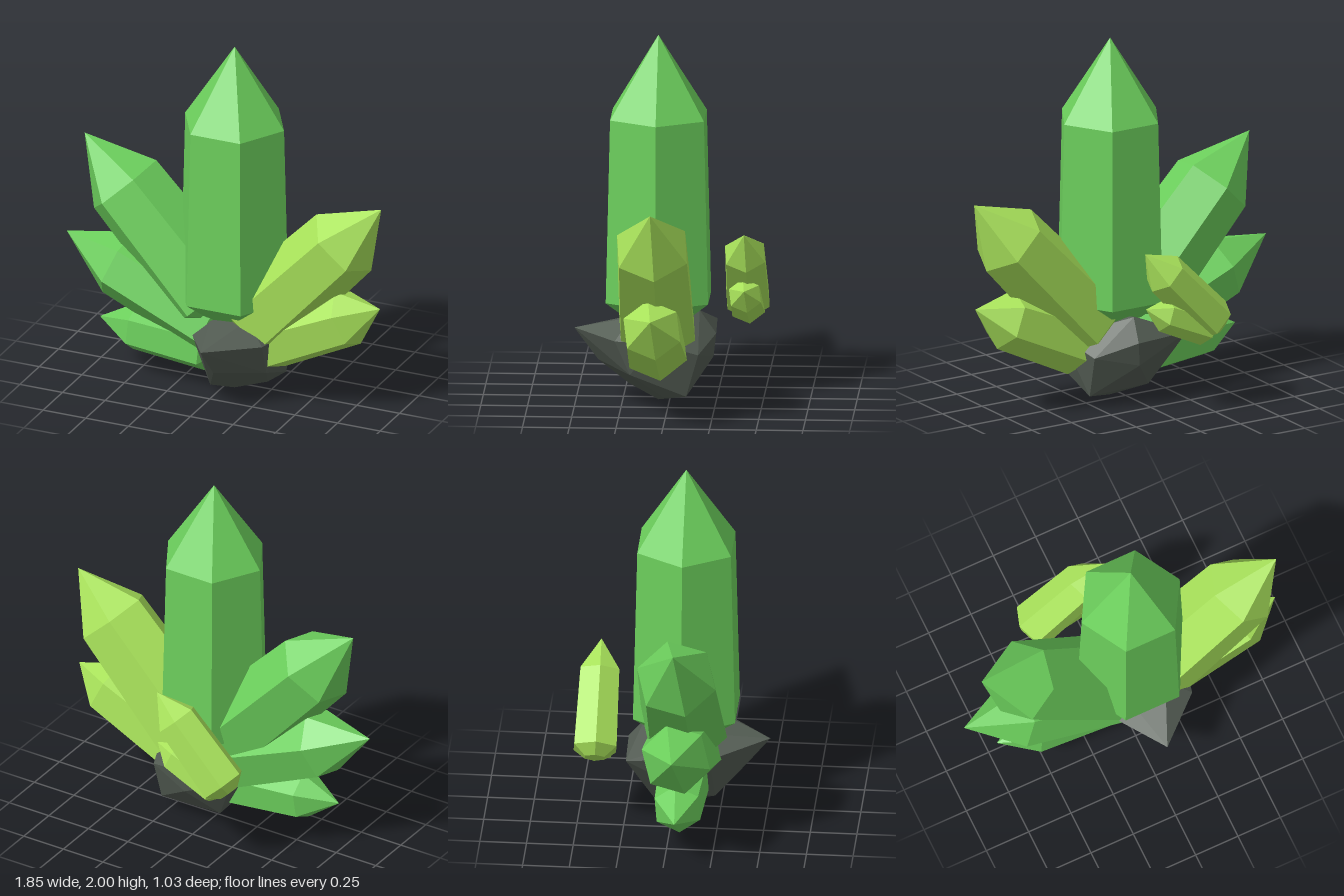
import * as THREE from 'three';
import { ConvexGeometry } from 'three/addons/geometries/ConvexGeometry.js';

const paint = (color) => new THREE.MeshStandardMaterial({ color, flatShading: true });
const UP = new THREE.Vector3(0, 1, 0);

// Six-sided crystal: pointed tip, slightly flared shaft, blunt tapered root
function crystal(name, material, base, tip, tipLength, radius, twist) {
  const start = new THREE.Vector3(...base);
  const axis = new THREE.Vector3(...tip).sub(start);
  const length = axis.length();
  const profile = [
    [0, -0.45 * radius],
    [0.5 * radius, -0.45 * radius],
    [1.09 * radius, 0],
    [radius, length - tipLength],
    [0, length],
  ].map(([x, y]) => new THREE.Vector2(x, y));
  const geometry = new THREE.LatheGeometry(profile, 6, THREE.MathUtils.degToRad(twist));
  const mesh = new THREE.Mesh(geometry, material);
  mesh.name = name;
  mesh.position.copy(start);
  mesh.quaternion.setFromUnitVectors(UP, axis.normalize());
  return mesh;
}

export function createModel() {
  const model = new THREE.Group();
  model.name = 'crystalCluster';
  const green = paint(0x6ccf5c);
  const lime = paint(0xa8e25a);
  const stone = paint(0x525b52);

  // Crystals: name, material, root centre, tip, tip length, radius, twist in degrees
  const crystals = [
    ['mainCrystal', green, [0.06, 0.56, 0.06], [0.06, 2, 0.06], 0.44, 0.29, 30],
    ['upperLeftSideCrystal', green, [-0.07, 0.52, 0.06], [-0.82, 1.33, 0.06], 0.35, 0.22, 46],
    ['middleLeftSideCrystal', green, [-0.05, 0.37, 0.06], [-0.925, 0.735, 0.06], 0.33, 0.19, 46],
    ['lowerLeftSideCrystal', green, [-0.1, 0.22, 0.06], [-0.73, 0.27, 0.06], 0.21, 0.135, 35],
    ['upperRightSideCrystal', lime, [0.2, 0.44, 0.06], [0.92, 1.205, 0.06], 0.32, 0.21, 35],
    ['lowerRightSideCrystal', lime, [0.27, 0.33, 0.06], [0.913, 0.62, 0.06], 0.21, 0.165, 38],
    ['largeBackCrystal', lime, [-0.29, 0.48, -0.4], [0.13, 0.92, -0.4], 0.18, 0.12, 35],
    ['smallBackCrystal', lime, [-0.25, 0.45, -0.4], [0.125, 0.61, -0.4], 0.12, 0.093, 38],
  ];
  for (const spec of crystals) model.add(crystal(...spec));

  // Rough faceted rock at the foot
  const corners = [
    [0.06, 0, 0.06], [-0.01, 0.07, 0.22], [0.235, 0.05, 0.02], [0.29, 0.07, -0.1],
    [-0.08, 0.08, -0.1], [-0.11, 0.13, 0.1], [0.08, 0.22, 0.38], [0.065, 0.39, 0.51],
    [0.31, 0.19, 0.2], [0.32, 0.375, 0.28], [0.37, 0.375, 0.05], [0.2, 0.48, 0.2],
    [-0.01, 0.44, 0.22], [-0.135, 0.35, 0.2], [-0.235, 0.38, -0.24], [0.075, 0.37, -0.25],
    [0.06, 0.24, -0.235], [0.3, 0.3, -0.165], [0.05, 0.49, -0.16],
  ].map((p) => new THREE.Vector3(...p));
  const rock = new THREE.Mesh(new ConvexGeometry(corners), stone);
  rock.name = 'rockBase';
  model.add(rock);

  return model;
}
